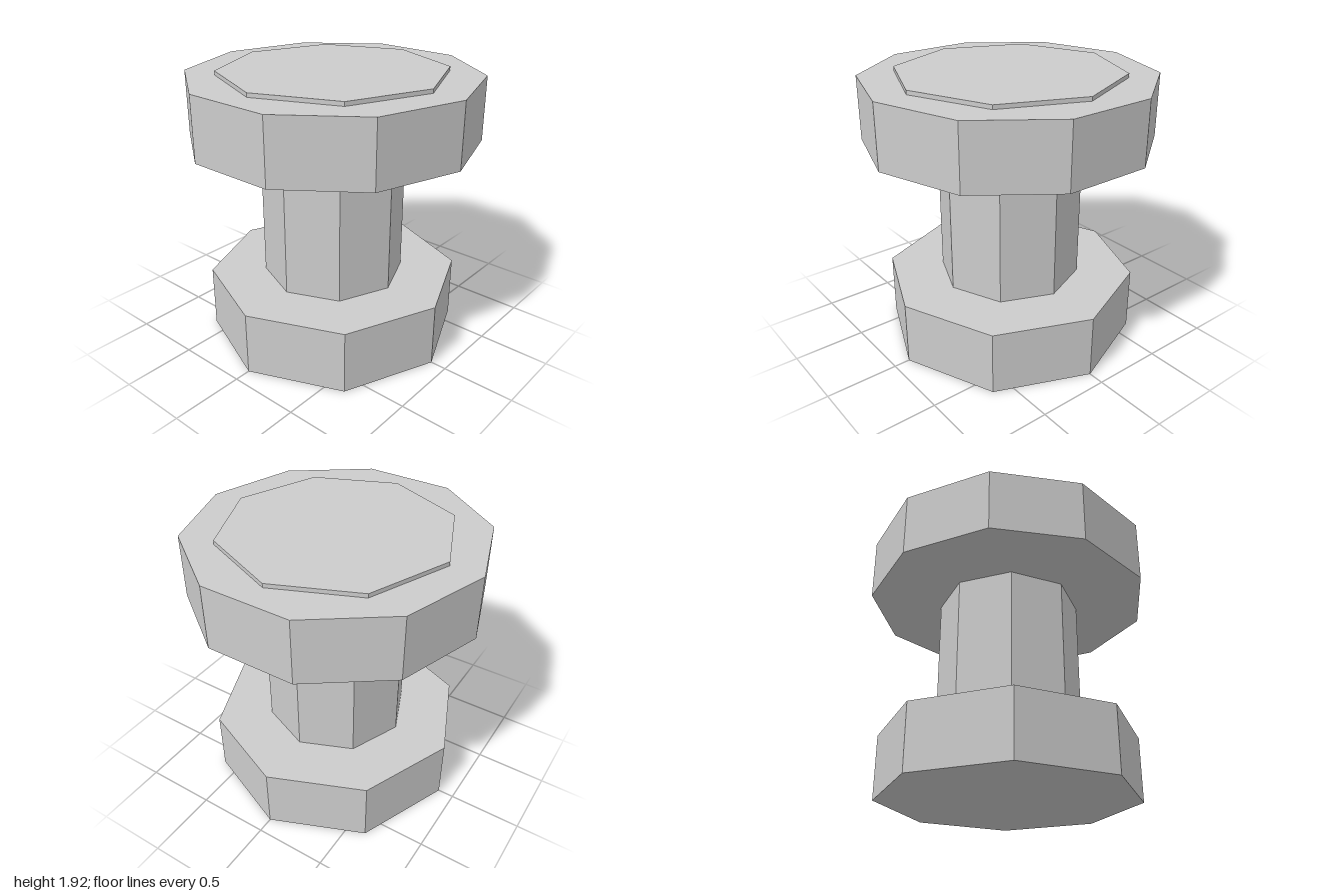
import * as THREE from 'three';

export function createModel() {
  const group = new THREE.Group();
  const stone = new THREE.MeshStandardMaterial({ color: 0xcccccc, flatShading: true });
  stone.name = 'paleGrey';

  // Upright prism with one corner on the +x axis
  function prism(name, radius, bottom, top, sides) {
    const geometry = new THREE.CylinderGeometry(radius, radius, top - bottom, sides, 1, false, Math.PI / 2);
    const mesh = new THREE.Mesh(geometry, stone);
    mesh.name = name;
    mesh.position.y = (bottom + top) / 2;
    group.add(mesh);
  }

  prism('base', 0.89, 0, 0.445, 8);
  prism('column', 0.5, 0.445, 1.45, 8);
  prism('tableTop', 1, 1.45, 1.89, 10);
  prism('topPlate', 0.777, 1.89, 1.918, 8);

  return group;
}
